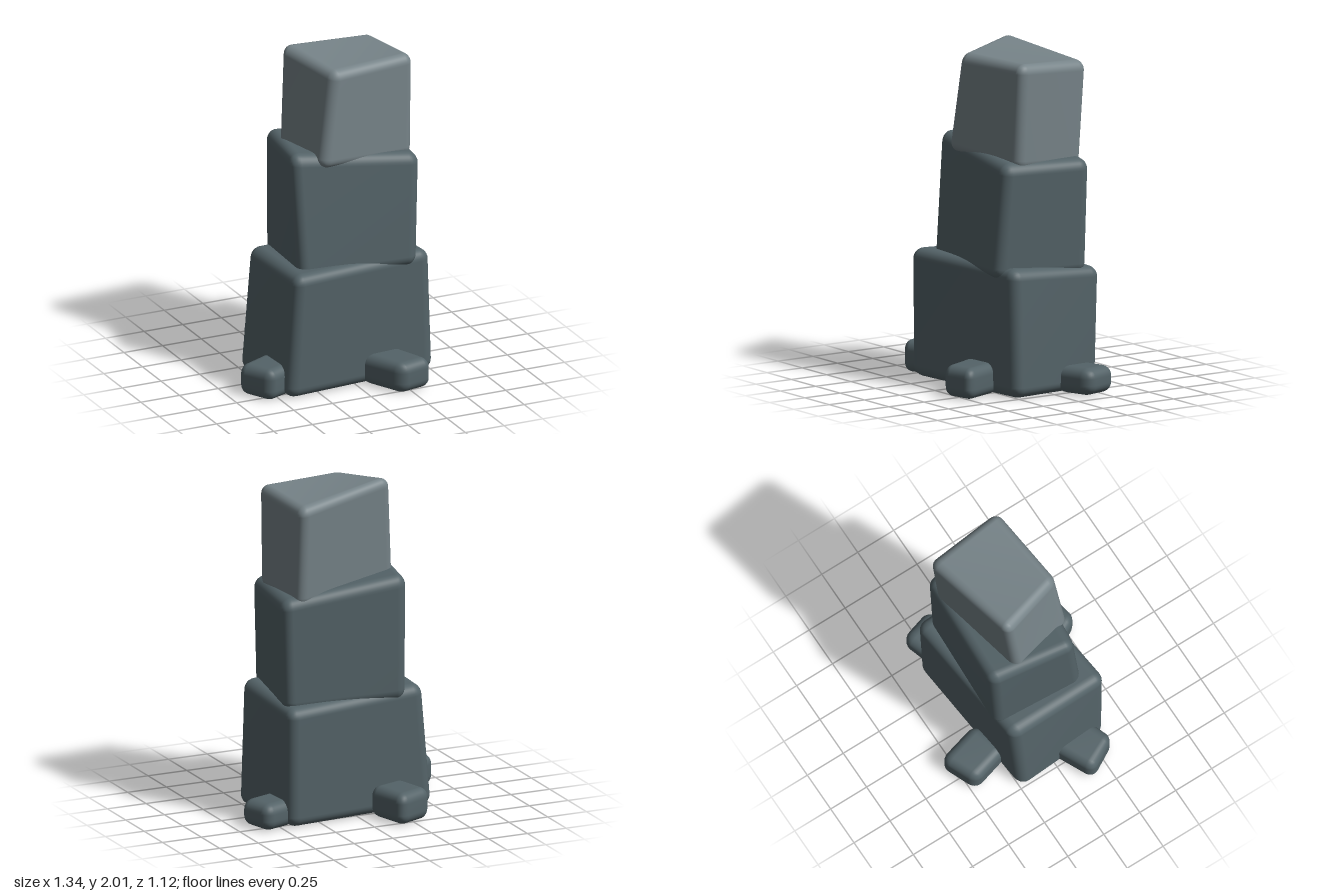
import * as THREE from 'three';
import { mergeVertices } from 'three/addons/utils/BufferGeometryUtils.js';
import { RoundedBoxGeometry } from 'three/addons/geometries/RoundedBoxGeometry.js';

// Rounded box warped to eight corners. Each ring of four [x, y, z] corners runs
// back -x, back +x, front +x, front -x.
function stone(name, material, bottom, top, radius) {
  const corner = (ring, i) => new THREE.Vector3(...ring[i]);
  const width = corner(top, 0).distanceTo(corner(top, 1));
  const depth = corner(top, 1).distanceTo(corner(top, 2));
  const height = corner(top, 2).distanceTo(corner(bottom, 2));
  let geometry = new RoundedBoxGeometry(width, height, depth, 4, radius);
  geometry.deleteAttribute('normal');
  geometry.deleteAttribute('uv');
  geometry.clearGroups();
  geometry = mergeVertices(geometry, 1e-5);

  const blend = (ring, u, w) => {
    const back = corner(ring, 0).lerp(corner(ring, 1), u);
    const front = corner(ring, 3).lerp(corner(ring, 2), u);
    return back.lerp(front, w);
  };
  const pos = geometry.attributes.position;
  for (let i = 0; i < pos.count; i++) {
    const u = pos.getX(i) / width + 0.5;
    const v = pos.getY(i) / height + 0.5;
    const w = pos.getZ(i) / depth + 0.5;
    const p = blend(bottom, u, w).lerp(blend(top, u, w), v);
    pos.setXYZ(i, p.x, p.y, p.z);
  }
  geometry.computeVertexNormals();
  const mesh = new THREE.Mesh(geometry, material);
  mesh.name = name;
  return mesh;
}

export function createModel() {
  const group = new THREE.Group();
  group.name = 'stackedStones';
  const darkStone = new THREE.MeshStandardMaterial({ color: 0x546368 });
  darkStone.name = 'dark stone';
  const lightStone = new THREE.MeshStandardMaterial({ color: 0x768388 });
  lightStone.name = 'light stone';

  // Three stacked blocks
  group.add(stone('lowerBlock', darkStone,
    [[-0.505, 0, -0.25], [0.465, 0, -0.34], [0.52, 0, 0.28], [-0.465, 0, 0.36]],
    [[-0.43, 0.75, -0.27], [0.475, 0.72, -0.355], [0.49, 0.765, 0.285], [-0.43, 0.775, 0.39]], 0.065));
  group.add(stone('middleBlock', darkStone,
    [[-0.31, 0.67, -0.3], [0.46, 0.68, -0.27], [0.385, 0.69, 0.335], [-0.35, 0.69, 0.28]],
    [[-0.295, 1.45, -0.33], [0.485, 1.365, -0.275], [0.42, 1.375, 0.295], [-0.38, 1.47, 0.21]], 0.065));
  group.add(stone('topBlock', lightStone,
    [[-0.3, 1.37, -0.15], [0.385, 1.31, -0.28], [0.415, 1.33, 0.2], [-0.205, 1.37, 0.275]],
    [[-0.26, 2.02, -0.19], [0.385, 1.93, -0.325], [0.43, 1.965, 0.185], [-0.115, 1.955, 0.245]], 0.06));

  // Small stones around the base: plan corners and height
  const baseStones = [
    ['rightBaseStone', 0.19, [[-0.69, 0.13], [-0.42, 0.0], [-0.36, 0.26], [-0.57, 0.34]]],
    ['leftBaseStone', 0.16, [[0.4, -0.28], [0.62, -0.35], [0.69, -0.12], [0.42, -0.03]]],
    ['backBaseStone', 0.19, [[-0.375, -0.48], [-0.14, -0.58], [-0.06, -0.29], [-0.3, -0.22]]],
    ['frontBaseStone', 0.185, [[0.02, 0.27], [0.28, 0.23], [0.39, 0.52], [0.17, 0.565]]],
  ];
  for (const [name, height, plan] of baseStones) {
    const ring = (y) => plan.map(([x, z]) => [x, y, z]);
    group.add(stone(name, darkStone, ring(0), ring(height), 0.06));
  }
  return group;
}
